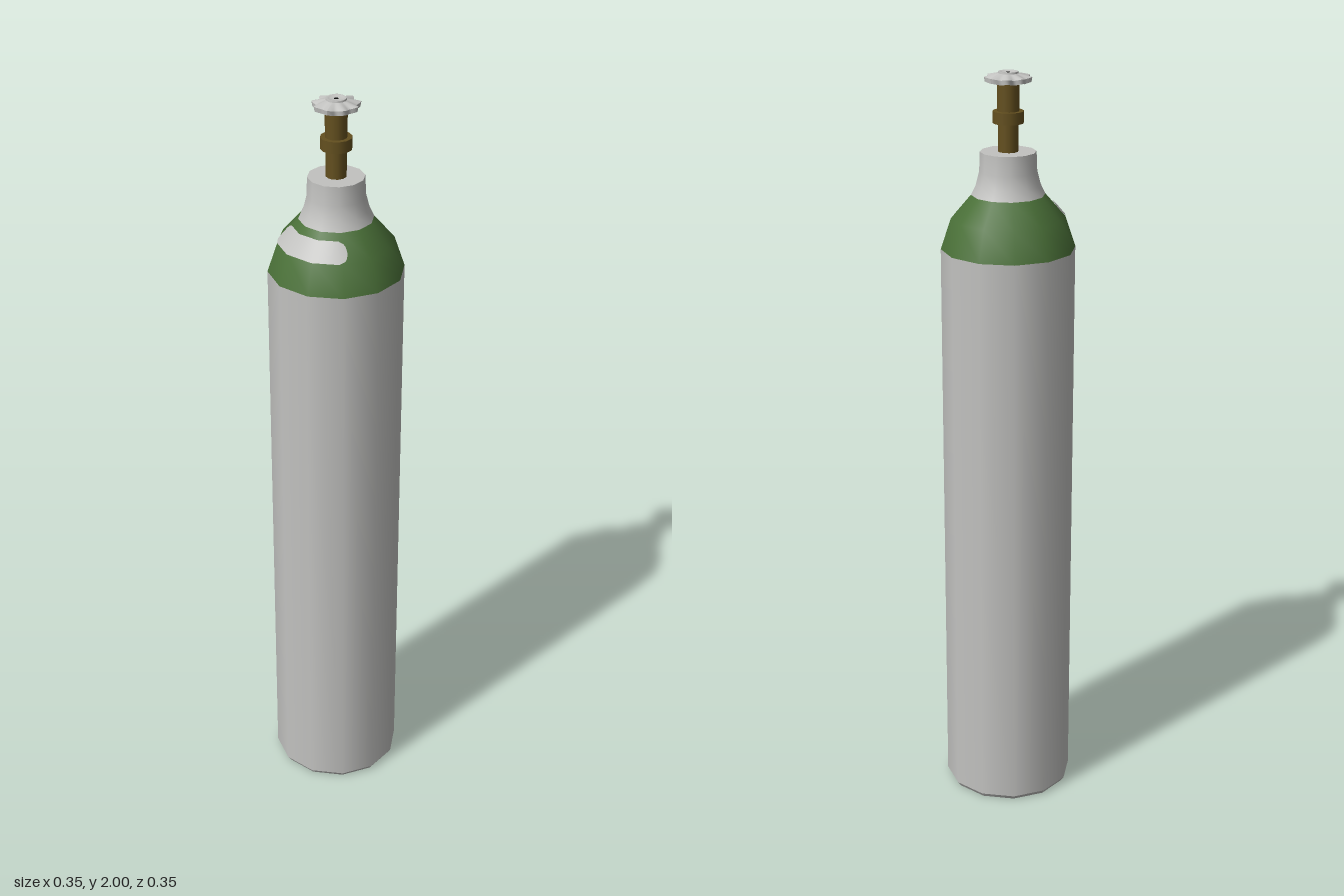
import * as THREE from 'three';

const SIDES = 12;
const TURN = -0.045; // slight twist of the twelve-sided body
const STEP = (Math.PI * 2) / SIDES;

const mat = (name, color, side = THREE.FrontSide) => {
  const m = new THREE.MeshStandardMaterial({ color, side });
  m.name = name;
  return m;
};

export function createModel() {
  const group = new THREE.Group();
  const light = mat('light grey paint', 0xc2c2c0);
  const green = mat('green paint', 0x4a7038);
  const brass = mat('brass', 0x64501f);
  const dark = mat('dark rubber', 0x0c0c0c);

  const add = (name, geometry, material) => {
    const mesh = new THREE.Mesh(geometry, material);
    mesh.name = name;
    group.add(mesh);
    return mesh;
  };
  // Revolved part from [radius, height] pairs, listed bottom to top
  const lathe = (name, pts, material, sides = SIDES, start = TURN) =>
    add(name, new THREE.LatheGeometry(pts.map((p) => new THREE.Vector2(...p)), sides, start), material);

  // Cylinder body with a small chamfer at the foot
  lathe('bottom', [[0, 0], [0.166, 0]], light);
  lathe('footChamfer', [[0.166, 0], [0.174, 0.012]], light);
  lathe('body', [[0.174, 0.012], [0.174, 1.55]], light);

  // Shoulder and neck
  lathe('shoulder', [[0.174, 1.55], [0.147, 1.63], [0.095, 1.69]], green);
  lathe('neck', [[0.095, 1.69], [0.083, 1.715], [0.074, 1.75], [0.072, 1.8]], light);
  lathe('neckTop', [[0.072, 1.8], [0, 1.8]], light);

  // Round-ended label lying on the front of the shoulder
  const shoulderRadius = (y) =>
    y < 1.63 ? 0.147 + ((1.63 - y) / 0.08) * 0.027 : 0.147 - ((y - 1.63) / 0.06) * 0.052;
  const cols = 60, rows = 8;
  const pos = [], nor = [], idx = [];
  for (let j = 0; j <= rows; j++) {
    const v = j / rows;
    const y = 1.628 + v * 0.045;
    const inset = 0.16 * (1 - Math.sqrt(Math.max(0, 1 - (2 * v - 1) ** 2)));
    const from = -1.21 + inset, to = 0.58 - inset;
    for (let i = 0; i <= cols; i++) {
      const a = from + ((to - from) * i) / cols;
      const local = ((((a - TURN) % STEP) + STEP) % STEP) - STEP / 2;
      const r = (shoulderRadius(y) * Math.cos(STEP / 2)) / Math.cos(local) + 0.003;
      pos.push(r * Math.sin(a), y + 0.002, r * Math.cos(a));
      nor.push(0.8 * Math.sin(a), 0.6, 0.8 * Math.cos(a));
      if (i < cols && j < rows) {
        const k = j * (cols + 1) + i, n = k + cols + 1;
        idx.push(k, k + 1, n + 1, k, n + 1, n);
      }
    }
  }
  const label = new THREE.BufferGeometry();
  label.setAttribute('position', new THREE.Float32BufferAttribute(pos, 3));
  label.setAttribute('normal', new THREE.Float32BufferAttribute(nor, 3));
  label.setIndex(idx);
  add('shoulderLabel', label, light);

  // Brass valve: lower stem, collar nut, upper stem
  const rod = (name, r, y0, y1) => {
    add(name, new THREE.CylinderGeometry(r, r, y1 - y0, 12), brass).position.y = (y0 + y1) / 2;
  };
  rod('lowerStem', 0.026, 1.8, 1.87);
  rod('collarNut', 0.04, 1.872, 1.902);
  rod('upperStem', 0.028, 1.9, 1.975);

  // Nine-lobed handwheel: revolved profile whose rim is pulled in between lobes
  const scallop = (mesh) => {
    const p = mesh.geometry.attributes.position;
    for (let i = 0; i < p.count; i++) {
      const x = p.getX(i), z = p.getZ(i), r = Math.hypot(x, z);
      const rim = Math.max(0, (r - 0.025) / 0.036);
      const dip = rim * 0.5 * (1 - Math.cos(9 * Math.atan2(x, z)));
      const s = 1 - 0.2 * dip;
      p.setXYZ(i, x * s, p.getY(i) - 0.004 * dip, z * s);
    }
    mesh.geometry.computeVertexNormals();
  };
  scallop(lathe('handwheelTop', [[0.061, 1.988], [0.044, 1.992], [0.025, 1.996]], light, 54, 0));
  scallop(lathe('handwheelRim', [[0.059, 1.976], [0.061, 1.988]], light, 54, 0));
  scallop(lathe('handwheelUnderside', [[0, 1.974], [0.025, 1.974], [0.059, 1.976]], dark, 54, 0));
  lathe('handwheelHubSide', [[0.026, 1.994], [0.025, 2]], light, 18);
  lathe('handwheelHubTop', [[0.025, 2], [0.018, 2], [0.016, 1.997], [0, 1.997]], light, 18);
  lathe('hubScrew', [[0.006, 1.998], [0, 1.998]], dark, 8);

  return group;
}
